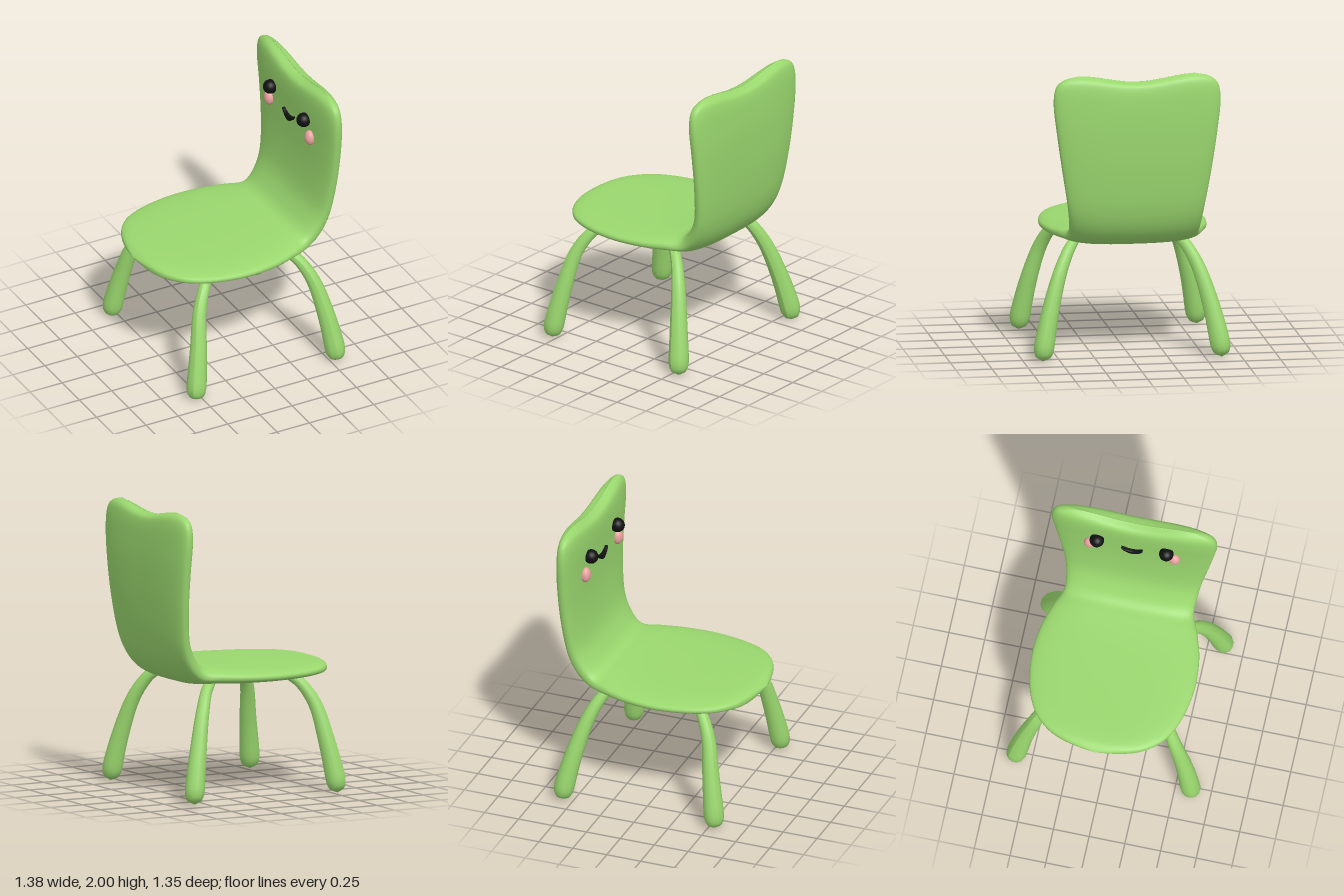
import * as THREE from 'three';

const green = new THREE.MeshStandardMaterial({ color: 0x9ad76e, side: THREE.DoubleSide });
const black = new THREE.MeshStandardMaterial({ color: 0x111111 });
const pink = new THREE.MeshStandardMaterial({ color: 0xeaa3a0 });
const MID_Z = -0.027; // the shell and face sit slightly off the centre of the legs

function add(group, name, geometry, material) {
  const mesh = new THREE.Mesh(geometry, material);
  mesh.name = name;
  group.add(mesh);
  return mesh;
}

// Seat and back in one shell: [upper x, upper y, lower x, lower y, half width]
const SECTIONS = [
  [-0.69, 0.84, -0.69, 0.838, 0],
  [-0.67, 0.858, -0.67, 0.817, 0.13],
  [-0.635, 0.875, -0.635, 0.793, 0.26],
  [-0.58, 0.882, -0.58, 0.787, 0.365],
  [-0.48, 0.885, -0.48, 0.784, 0.465],
  [-0.32, 0.887, -0.32, 0.779, 0.535],
  [-0.1, 0.891, -0.1, 0.776, 0.572],
  [0.12, 0.899, 0.12, 0.776, 0.557],
  [0.28, 0.912, 0.32, 0.78, 0.505],
  [0.38, 0.93, 0.465, 0.79, 0.455],
  [0.45, 1.01, 0.57, 0.885, 0.457],
  [0.505, 1.14, 0.635, 1.05, 0.477],
  [0.53, 1.36, 0.67, 1.32, 0.518],
  [0.532, 1.6, 0.685, 1.6, 0.556],
  [0.526, 1.8, 0.682, 1.8, 0.578],
  [0.53, 1.92, 0.672, 1.92, 0.562],
  [0.55, 1.975, 0.652, 1.975, 0.5],
  [0.6, 2.0, 0.602, 2.0, 0.4],
];

function shellGeometry() {
  const spline = (f) => new THREE.CatmullRomCurve3(SECTIONS.map(f), false, 'catmullrom', 0.5);
  const upper = spline((s) => new THREE.Vector3(s[0], s[1], s[4]));
  const lower = spline((s) => new THREE.Vector3(s[2], s[3], 0));
  const rows = 85, ring = 56, power = 2 / 2.7;
  const soft = (v) => Math.sign(v) * Math.pow(Math.abs(v), power);
  const positions = [], index = [];
  for (let i = 0; i <= rows; i++) {
    const a = upper.getPoint(i / rows), b = lower.getPoint(i / rows);
    for (let j = 0; j < ring; j++) {
      const angle = (j / ring) * Math.PI * 2;
      const z = Math.max(a.z, 0) * soft(Math.cos(angle));
      const k = (1 + soft(Math.sin(angle))) / 2;
      let y = b.y + (a.y - b.y) * k;
      // shallow dip in the middle of the top edge
      const rise = Math.max(0, (y - 1.7) / 0.3);
      if (Math.abs(z) < 0.42) y -= 0.05 * rise * rise * Math.cos((z / 0.42) * Math.PI / 2) ** 2;
      positions.push(b.x + (a.x - b.x) * k, y, z + MID_Z);
      if (i < rows) {
        const p = i * ring + j, q = i * ring + ((j + 1) % ring);
        index.push(p, p + ring, q, q, p + ring, q + ring);
      }
    }
  }
  const geometry = new THREE.BufferGeometry();
  geometry.setAttribute('position', new THREE.Float32BufferAttribute(positions, 3));
  geometry.setIndex(index);
  geometry.computeVertexNormals();
  return geometry;
}

// Leg: a tube swollen towards a rounded foot
function legGeometry(points) {
  const path = new THREE.CatmullRomCurve3(points.map((p) => new THREE.Vector3(...p)));
  const rows = 36, sides = 12;
  const geometry = new THREE.TubeGeometry(path, rows, 1, sides);
  const pos = geometry.attributes.position, v = new THREE.Vector3();
  for (let i = 0; i <= rows; i++) {
    const u = i / rows, centre = path.getPointAt(u);
    const foot = Math.max(0, (u - 0.88) / 0.12);
    const radius = (0.036 + 0.034 * Math.min(1, u / 0.85)) * Math.sqrt(Math.max(0, 1 - foot ** 2.6));
    for (let j = 0; j <= sides; j++) {
      const n = i * (sides + 1) + j;
      v.fromBufferAttribute(pos, n).sub(centre).multiplyScalar(radius).add(centre);
      pos.setXYZ(n, v.x, v.y, v.z);
    }
  }
  geometry.computeVertexNormals();
  return geometry;
}

export function createModel() {
  const group = new THREE.Group();
  add(group, 'seatAndBack', shellGeometry(), green);

  for (const side of [-1, 1]) {
    const label = side > 0 ? 'Left' : 'Right';
    const z = [0.36, 0.41, 0.48, 0.555, 0.61, 0.618].map((d) => d * side);
    const shift = side < 0 ? 0.02 : -0.01;
    add(group, 'seatFrontLeg' + label, legGeometry([
      [-0.31, 0.8, z[0]], [-0.365, 0.75, z[1]], [-0.44, 0.61, z[2]],
      [-0.49, 0.36, z[3]], [-0.534, 0.08, z[4]], [-0.54, 0.004, z[5]],
    ]), green);
    add(group, 'backLeg' + label, legGeometry([
      [0.31, 0.8, z[0]], [0.37, 0.74, z[1]], [0.44, 0.6, z[2]],
      [0.505 + shift / 2, 0.35, z[3]], [0.553 + shift, 0.08, z[4]], [0.56 + shift, 0.004, z[5]],
    ]), green);

    // Eyes and cheeks on the inside of the back
    const eye = add(group, 'eye' + label, new THREE.SphereGeometry(0.05, 24, 16), black);
    eye.position.set(0.507, 1.73, MID_Z + side * 0.243);
    const cheek = add(group, 'cheek' + label, new THREE.SphereGeometry(1, 24, 16), pink);
    cheek.scale.set(0.036, 0.055, 0.042);
    cheek.position.set(0.527, 1.61, MID_Z + side * 0.295);
  }

  // Crescent smile
  const crescent = new THREE.Shape();
  crescent.moveTo(-0.07, 0.02);
  crescent.quadraticCurveTo(0, -0.085, 0.07, 0.02);
  crescent.quadraticCurveTo(0, -0.03, -0.07, 0.02);
  const smile = add(group, 'smile', new THREE.ExtrudeGeometry(crescent, {
    depth: 0.03, curveSegments: 16, bevelThickness: 0.006, bevelSize: 0.005, bevelSegments: 3,
  }), black);
  smile.rotation.y = -Math.PI / 2;
  smile.position.set(0.543, 1.63, MID_Z);

  return group;
}
